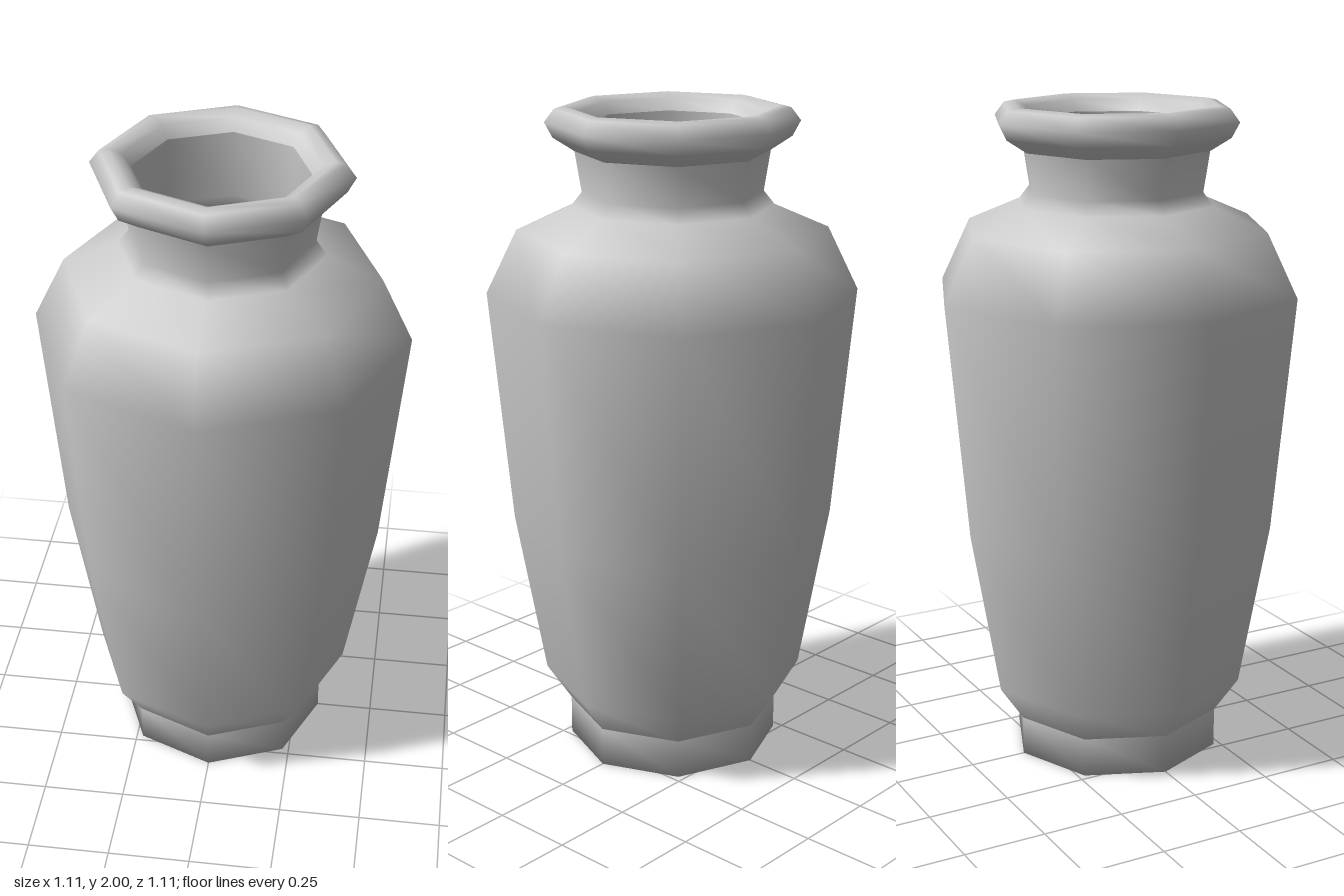
import * as THREE from 'three';

const SIDES = 8;

export function createModel() {
  const vase = new THREE.Group();
  vase.name = 'vase';

  const clay = new THREE.MeshStandardMaterial({ color: 0xc8c8c8, side: THREE.DoubleSide });
  clay.name = 'grey clay';

  // Turns a [radius, height] profile into a smooth eight-sided part
  const turn = (name, profile) => {
    const points = profile.map(([r, y]) => new THREE.Vector2(r, y));
    const mesh = new THREE.Mesh(new THREE.LatheGeometry(points, SIDES), clay);
    mesh.name = name;
    vase.add(mesh);
  };

  // Foot with its closed underside
  turn('foot', [[0, 0], [0.325, 0], [0.325, 0.12]]);

  // Belly, shoulder and flared neck
  turn('body', [
    [0.325, 0.12], [0.4, 0.23], [0.49, 0.74], [0.555, 1.45],
    [0.462, 1.64], [0.3, 1.71], [0.268, 1.75], [0.287, 1.87],
  ]);

  // Rounded rim
  turn('lip', [
    [0.287, 1.87], [0.35, 1.91], [0.374, 1.955], [0.345, 1.993],
    [0.315, 2], [0.28, 1.985], [0.256, 1.95],
  ]);

  // Hollow inside, down to a rounded floor
  turn('interior', [
    [0.256, 1.95], [0.252, 1.75], [0.28, 1.69], [0.43, 1.61], [0.52, 1.44],
    [0.455, 0.75], [0.37, 0.26], [0.27, 0.14], [0, 0.1],
  ]);

  return vase;
}
